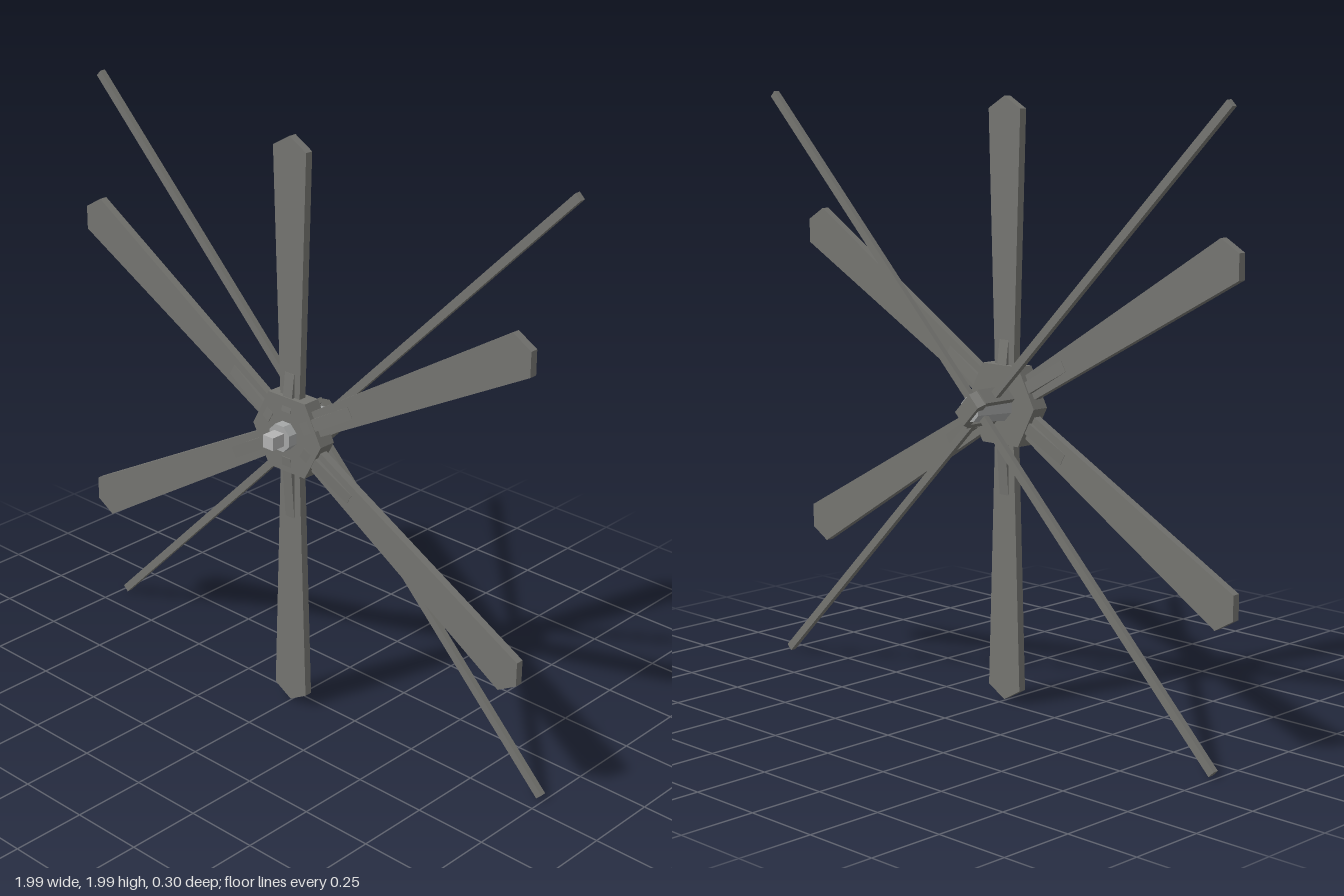
import * as THREE from 'three';

const mat = (name, color) => {
  const m = new THREE.MeshStandardMaterial({ color });
  m.name = name;
  return m;
};

export function createModel() {
  const dark = mat('dark grey', 0x757571);
  const steel = mat('steel grey', 0xa6a8a8);
  const pale = mat('pale grey', 0xb4b4b4);
  const model = new THREE.Group();
  const rotor = new THREE.Group();
  rotor.name = 'rotor';
  rotor.position.y = 1;
  model.add(rotor);

  const add = (name, geometry, material, parent = rotor) => {
    const mesh = new THREE.Mesh(geometry, material);
    mesh.name = name;
    parent.add(mesh);
    return mesh;
  };
  // flat outline extruded from z0 to z1
  const plate = (points, z0, z1) => {
    const shape = new THREE.Shape(points.map(([x, y]) => new THREE.Vector2(x, y)));
    return new THREE.ExtrudeGeometry(shape, { depth: z1 - z0, bevelEnabled: false }).translate(0, 0, z0);
  };
  // octagonal prism along z
  const octagon = (rFront, rBack, z0, z1) =>
    new THREE.CylinderGeometry(rFront, rBack, z1 - z0, 8).rotateY(Math.PI / 8)
      .rotateX(Math.PI / 2).translate(0, 0, (z0 + z1) / 2).toNonIndexed();
  const flat = (g) => { g.computeVertexNormals(); return g; };

  // six paddle blades, each clamped by a tapered arm
  for (let i = 0; i < 6; i++) {
    const arm = new THREE.Group();
    arm.name = 'bladeArm' + (i + 1);
    arm.rotation.z = Math.PI / 2 + i * Math.PI / 3;
    rotor.add(arm);
    const tip = i % 3 === 0 ? 0.99 : 1.1;
    add('blade', plate([
      [0.05, -0.04], [tip - 0.04, -0.07], [tip, 0], [tip - 0.04, 0.07], [0.05, 0.04],
    ], 0.023, 0.05), dark, arm);

    // bracket tapers in thickness away from the hub
    const end = i === 0 ? 0.21 : 0.3;
    const bracket = new THREE.BoxGeometry(end - 0.08, 0.04, 0.064).translate((end + 0.08) / 2, 0, 0).toNonIndexed();
    const p = bracket.attributes.position;
    for (let k = 0; k < p.count; k++) {
      const scale = p.getX(k) > 0.15 ? 0.46 : 1;
      p.setZ(k, 0.0365 + p.getZ(k) * scale);
    }
    add('bladeBracket', flat(bracket), dark, arm);
  }

  // hexagonal hub plate
  add('hubPlate', plate([
    [0.15, 0], [0.08, 0.13], [-0.08, 0.13], [-0.15, 0], [-0.08, -0.13], [0.08, -0.13],
  ], 0.004, 0.066), dark);

  // front shaft and square end
  add('frontCollar', flat(octagon(0.048, 0.048, 0.06, 0.1)), steel);
  add('shaftEnd', new THREE.BoxGeometry(0.044, 0.044, 0.056).translate(0, 0, 0.124), pale);

  // rear mast
  add('rearMast', flat(octagon(0.055, 0.042, -0.135, 0.01)), steel);

  // two crossed balance rods
  [[-0.063, -1], [-0.099, 1]].forEach(([z, side]) => {
    const rod = add('balanceRod', new THREE.BoxGeometry(2.785, 0.027, 0.02), dark);
    rod.position.z = z;
    rod.rotation.z = side * Math.PI / 4;
  });

  // U-shaped yoke behind the hub, holding the rods
  const yoke = new THREE.Group();
  yoke.name = 'rearYoke';
  yoke.rotation.z = -Math.PI / 4;
  rotor.add(yoke);
  for (const s of [-1, 1]) {
    add('yokeLeg', new THREE.BoxGeometry(0.018, 0.056, 0.13).translate(s * 0.056, 0, -0.06), dark, yoke);
  }
  add('yokeStrap', new THREE.ExtrudeGeometry(new THREE.Shape([
    [-0.065, -0.115], [-0.045, -0.15], [0.045, -0.15], [0.065, -0.115],
  ].map(([x, y]) => new THREE.Vector2(x, y))), { depth: 0.056, bevelEnabled: false })
    .translate(0, 0, -0.028).rotateX(Math.PI / 2), dark, yoke);

  return model;
}
